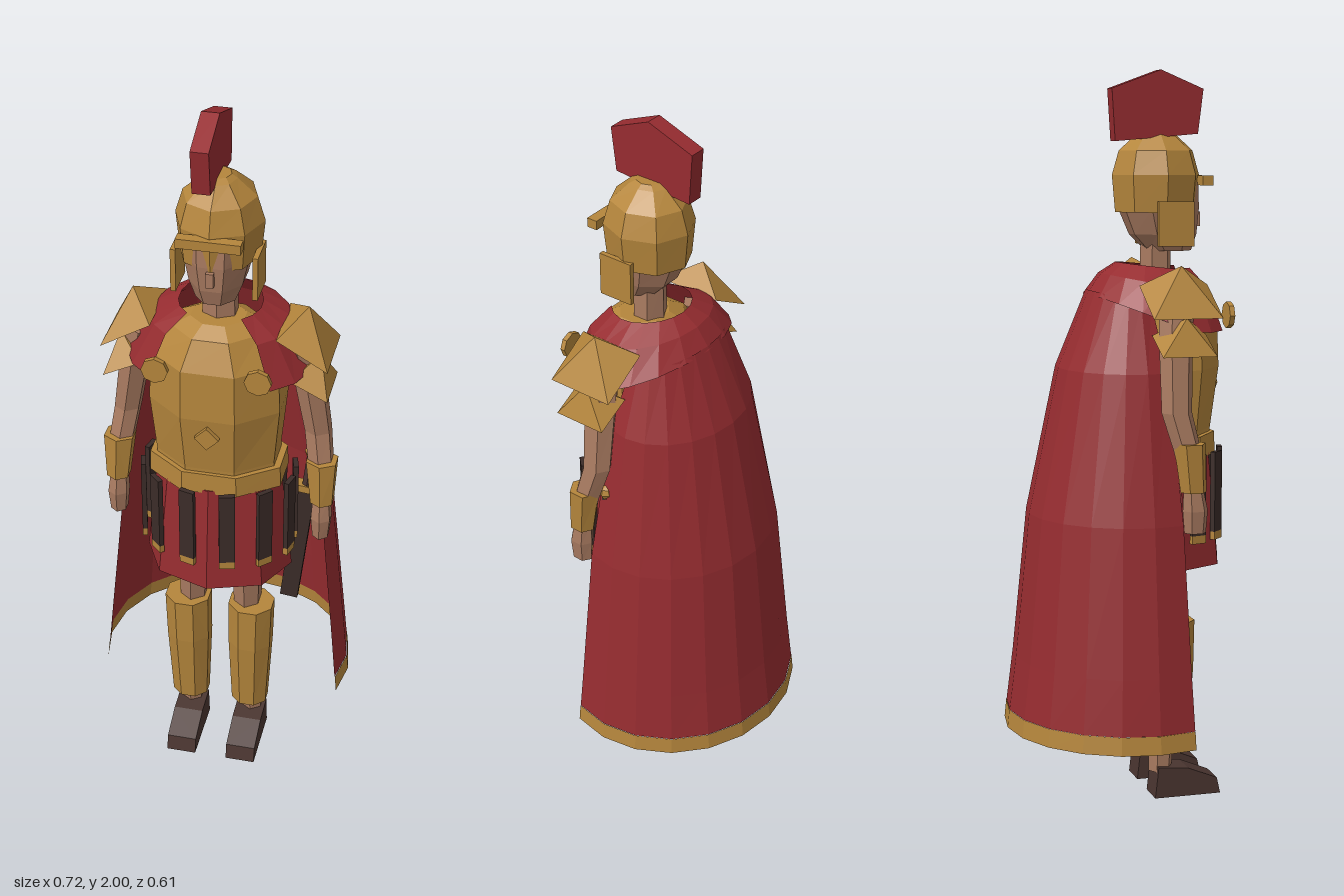
import * as THREE from 'three';

const mat = (name, color, side = THREE.FrontSide) => {
  const m = new THREE.MeshStandardMaterial({ color, side, flatShading: true });
  m.name = name;
  return m;
};

// faceted skin over rows of points, bottom row first
function skin(rows, { closed = true, bottom = null, top = null } = {}) {
  const p = [], n = rows[0].length, last = closed ? n : n - 1;
  const tri = (...pts) => pts.forEach(q => p.push(...q));
  for (let r = 0; r + 1 < rows.length; r++)
    for (let i = 0; i < last; i++) {
      const j = (i + 1) % n, a = rows[r][i], b = rows[r][j], c = rows[r + 1][j], d = rows[r + 1][i];
      tri(a, b, c);
      tri(a, c, d);
    }
  for (let i = 0; i < n; i++) {
    const j = (i + 1) % n, hi = rows[rows.length - 1];
    if (bottom) tri(bottom, rows[0][j], rows[0][i]);
    if (top) tri(top, hi[i], hi[j]);
  }
  const g = new THREE.BufferGeometry();
  g.setAttribute('position', new THREE.Float32BufferAttribute(p, 3));
  g.computeVertexNormals();
  return g;
}

// closed body from rings [y, half width, half depth, centre z, centre x]; flat puts a facet in front
function loft(rings, n = 8, flat = false) {
  const k = flat ? 1 / Math.cos(Math.PI / n) : 1;
  const rows = rings.map(([y, rx, rz, cz, cx = 0]) => Array.from({ length: n }, (_, i) => {
    const a = (i + (flat ? 0.5 : 0)) * Math.PI * 2 / n;
    return [cx + k * rx * Math.sin(a), y, cz + k * rz * Math.cos(a)];
  }));
  const mid = r => [r[4] || 0, r[0], r[3]];
  return skin(rows, { bottom: mid(rings[0]), top: mid(rings[rings.length - 1]) });
}

// open cloth wrapped around the back, to the given angle on each side
function drape(rows, degrees, n, cz) {
  return skin(rows.map(([yBack, ySide, rx, rz]) => Array.from({ length: n + 1 }, (_, i) => {
    const a = (1 - 2 * i / n) * degrees * Math.PI / 180;
    const t = Math.min(1, (1 - Math.cos(a)) * 0.8);
    return [rx * Math.sin(a), yBack + (ySide - yBack) * t, cz - rz * Math.cos(a)];
  })), { closed: false });
}

// side profile of [z, y] points given a width along x
function slab(points, width, cx) {
  const shape = new THREE.Shape(points.map(([z, y]) => new THREE.Vector2(z, y)));
  const g = new THREE.ExtrudeGeometry(shape, { depth: width, bevelEnabled: false });
  return g.rotateY(-Math.PI / 2).translate(cx + width / 2, 0, 0);
}

// four-sided spike plate
function spike(xIn, yIn, xOut, yOut, z0, z1, apex) {
  const base = [[xOut, yOut, z1], [xOut, yOut, z0], [xIn, yIn, z0], [xIn, yIn, z1]];
  return skin([base], { top: apex, bottom: [(xIn + xOut) / 2, (yIn + yOut) / 2, (z0 + z1) / 2] });
}

export function createModel() {
  const gold = mat('gold', 0xb5863c), red = mat('red', 0x962c30);
  const cloth = red.clone();
  cloth.name = 'red cloth';
  cloth.side = THREE.DoubleSide;
  const trim = gold.clone();
  trim.name = 'gold trim';
  trim.side = THREE.DoubleSide;
  const flesh = mat('skin', 0xa87a60), leather = mat('leather', 0x4a3530), dark = mat('dark leather', 0x3b2c28);

  const model = new THREE.Group();
  const add = (name, geometry, material, parent = model) => {
    const m = new THREE.Mesh(geometry, material);
    m.name = name;
    parent.add(m);
    return m;
  };

  // head and helmet
  add('neck', loft([[1.42, .05, .045, .12], [1.55, .047, .043, .12]], 6), flesh);
  add('head', loft([[1.515, .052, .06, .155], [1.56, .07, .088, .14], [1.63, .085, .105, .128], [1.7, .088, .105, .125]], 8, true), flesh);
  add('nose', new THREE.BoxGeometry(.02, .04, .02).translate(0, 1.6, .235), flesh);
  add('helmet', loft([[1.62, .106, .115, .12], [1.72, .116, .124, .12], [1.785, .096, .105, .12], [1.83, .045, .055, .12], [1.84, .03, .035, .12]]), gold);
  add('visor', new THREE.BoxGeometry(.166, .026, .03).translate(0, 1.705, .243), gold);
  add('crest', slab([[.225, 1.83], [-.008, 1.81], [-.017, 1.95], [.12, 2], [.24, 1.95]], .047, -.0235), red);

  // torso, belt and skirt
  add('cuirass', loft([[.96, .165, .115, .14], [1.03, .16, .118, .14], [1.2, .175, .14, .14],
    [1.34, .17, .135, .14], [1.42, .115, .1, .14], [1.445, .07, .06, .14]], 8, true), gold);
  add('belt', loft([[.96, .18, .13, .14], [1.02, .178, .128, .14]], 8, true), gold);
  add('chestDiamond', new THREE.CylinderGeometry(.033, .033, .014, 4).rotateX(Math.PI / 2).translate(0, 1.15, .284), gold);
  add('skirt', loft([[.66, .205, .165, .14], [.97, .172, .135, .14]]), red);

  // hanging straps with metal tips
  for (let i = 0; i < 12; i++) {
    const a = (15 + 30 * i) * Math.PI / 180;
    const strap = new THREE.Group();
    strap.name = 'skirtStrap';
    strap.position.set(.21 * Math.sin(a), 0, .14 + .155 * Math.cos(a));
    strap.rotation.y = a;
    add('strap', new THREE.BoxGeometry(.043, .22, .014).translate(0, .865, 0), dark, strap);
    add('strapTip', new THREE.BoxGeometry(.043, .022, .014).translate(0, .744, 0), gold, strap);
    model.add(strap);
  }

  // cloak
  add('cape', drape([[.25, .25, .355, .329], [.4, .4, .34, .31], [.8, .8, .298, .27], [1.2, 1.2, .23, .186], [1.41, 1.38, .165, .1]], 108, 12, .03), cloth);
  add('capeHem', drape([[.2, .2, .361, .335], [.25, .25, .356, .33]], 108, 12, .03), trim);
  add('mantle', drape([[1.4, 1.305, .25, .19], [1.455, 1.42, .185, .15], [1.485, 1.47, .11, .105]], 140, 14, .115), cloth);

  // parts of one side, built for the left and mirrored
  for (const s of [1, -1]) {
    const side = new THREE.Group();
    side.name = s > 0 ? 'leftSide' : 'rightSide';
    side.scale.x = s;
    model.add(side);
    const put = (name, g, m) => add(name, g, m, side);

    put('cheekGuard', new THREE.BoxGeometry(.014, .12, .1).translate(.106, 1.59, .145), gold);
    put('cloakClasp', new THREE.CylinderGeometry(.036, .036, .014, 8).rotateX(Math.PI / 2).translate(.135, 1.345, .286), gold);
    put('upperShoulderPlate', spike(.165, 1.43, .3, 1.35, .025, .215, [.233, 1.485, .12]), gold);
    put('lowerShoulderPlate', spike(.2, 1.3, .3, 1.25, .05, .2, [.268, 1.35, .125]), gold);

    put('arm', loft([[.9, .03, .03, .14, .283], [1.0, .036, .038, .125, .277], [1.1, .038, .042, .1, .262],
      [1.25, .043, .046, .105, .238], [1.37, .045, .05, .115, .21]], 6), flesh);
    put('bracer', loft([[.89, .034, .036, .14, .285], [1.02, .046, .044, .13, .28]], 6), gold);
    put('hand', loft([[.78, .024, .03, .145, .285], [.84, .03, .035, .145, .285], [.9, .025, .027, .14, .283]], 6), flesh);

    put('leg', loft([[.07, .032, .033, .11, .09], [.14, .034, .036, .112, .09], [.38, .05, .055, .115, .088],
      [.5, .04, .05, .125, .078], [.7, .048, .058, .125, .075]], 6), flesh);
    put('greave', loft([[.135, .05, .046, .135, .088], [.36, .06, .06, .138, .09], [.5, .062, .06, .14, .092]], 8, true), gold);
    put('shoe', slab([[.275, 0], [.265, .045], [.18, .08], [.095, .088], [.085, 0]], .084, .088), leather);
  }

  // sheathed sword on the left hip
  const sword = new THREE.Group();
  sword.name = 'sword';
  sword.position.set(.19, .5, .085);
  sword.rotation.z = -.11;
  add('scabbard', new THREE.BoxGeometry(.05, .38, .022).translate(0, .19, 0), dark, sword);
  add('guard', new THREE.BoxGeometry(.07, .022, .035).translate(0, .39, 0), gold, sword);
  add('grip', new THREE.CylinderGeometry(.015, .015, .11, 6).translate(0, .45, 0), leather, sword);
  add('pommel', new THREE.SphereGeometry(.022, 6, 4).translate(0, .51, 0), gold, sword);
  model.add(sword);

  return model;
}
